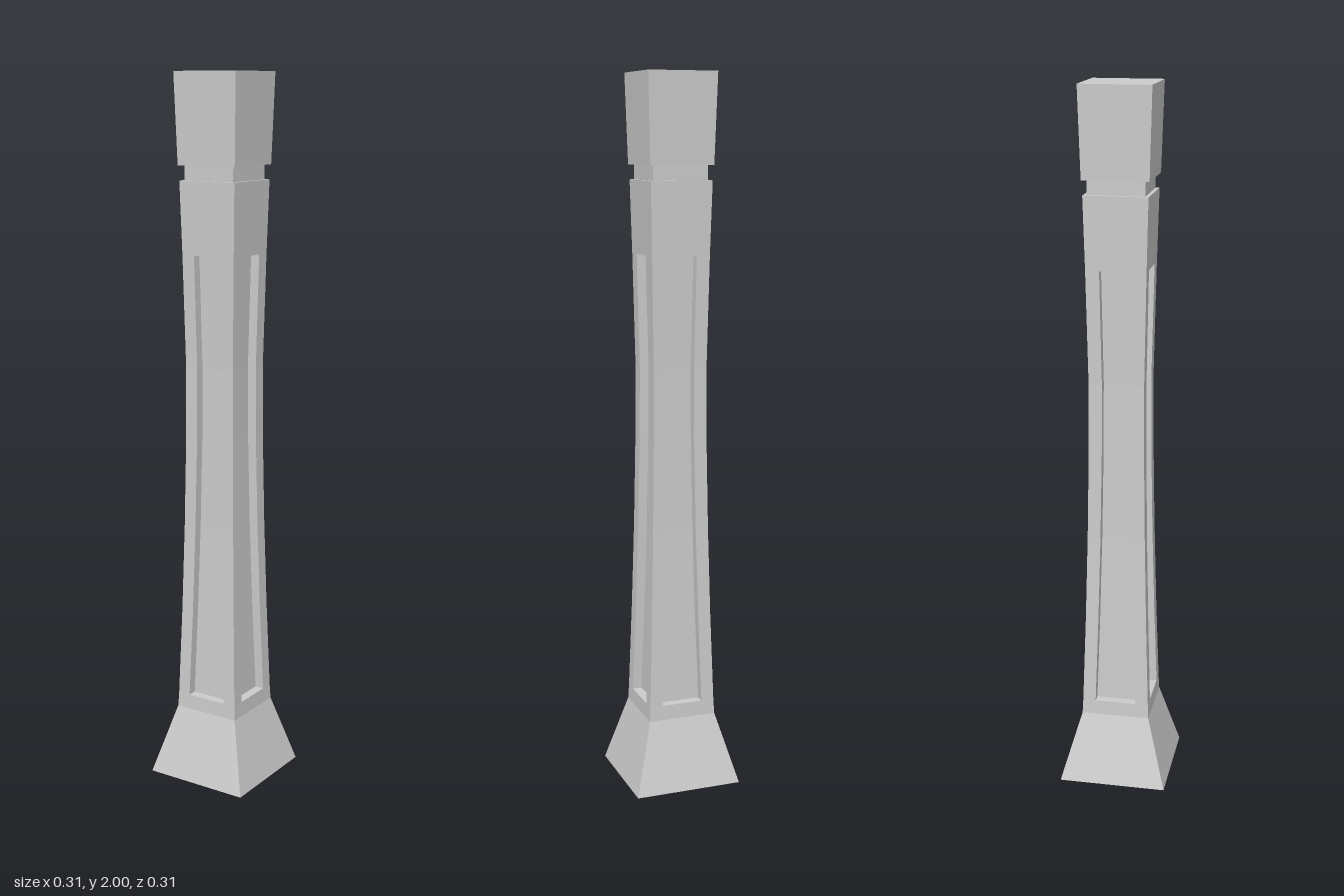
import * as THREE from 'three';

const material = new THREE.MeshStandardMaterial({ color: 0xcccccc, flatShading: true });

// Square block tapering from half-width a at y0 to half-width b at y1
function block(name, y0, y1, a, b) {
  const g = new THREE.CylinderGeometry(b * Math.SQRT2, a * Math.SQRT2, y1 - y0, 4);
  g.rotateY(Math.PI / 4);
  g.translate(0, (y0 + y1) / 2, 0);
  const mesh = new THREE.Mesh(g, material);
  mesh.name = name;
  return mesh;
}

// Square cross-section with a channel of half-width p and depth d in every side
function section(h, p, d) {
  const side = [[-h, h], [-p, h], [-p, h - d], [p, h - d], [p, h]];
  const loop = [];
  for (let k = 0; k < 4; k++) {
    const c = Math.round(Math.cos(k * Math.PI / 2));
    const s = Math.round(Math.sin(k * Math.PI / 2));
    for (const [x, z] of side) loop.push([x * c + z * s, z * c - x * s]);
  }
  return loop;
}

// Loft of the sections [y, half-width, panel half-width]
function panelledShaft(rows, depth) {
  const pos = [];
  const rings = rows.map(([y, h, p]) => section(h, p, depth).map(([x, z]) => [x, y, z]));
  for (let r = 0; r < rings.length - 1; r++) {
    const lo = rings[r], hi = rings[r + 1];
    for (let i = 0; i < lo.length; i++) {
      const j = (i + 1) % lo.length;
      pos.push(...lo[i], ...lo[j], ...hi[j], ...lo[i], ...hi[j], ...hi[i]);
    }
  }
  const g = new THREE.BufferGeometry();
  g.setAttribute('position', new THREE.Float32BufferAttribute(pos, 3));
  g.computeVertexNormals();
  const mesh = new THREE.Mesh(g, material);
  mesh.name = 'panelledShaft';
  return mesh;
}

export function createModel() {
  const post = new THREE.Group();
  post.name = 'post';

  // Flared foot and the solid block whose top is the panel sill
  post.add(block('foot', 0, 0.2, 0.154, 0.098));
  post.add(block('shaftBottom', 0.2, 0.242, 0.098, 0.096));

  // Waisted shaft with a recessed panel on each side
  post.add(panelledShaft([
    [0.242, 0.096, 0.059],
    [0.5, 0.088, 0.051],
    [0.75, 0.082, 0.045],
    [1.0, 0.078, 0.041],
    [1.2, 0.077, 0.040],
    [1.515, 0.083, 0.045],
  ], 0.026));

  // Solid shaft head, groove and flared cap
  post.add(block('shaftTop', 1.515, 1.715, 0.083, 0.088));
  post.add(block('neck', 1.715, 1.755, 0.078, 0.078));
  post.add(block('cap', 1.755, 2, 0.091, 0.098));
  return post;
}
